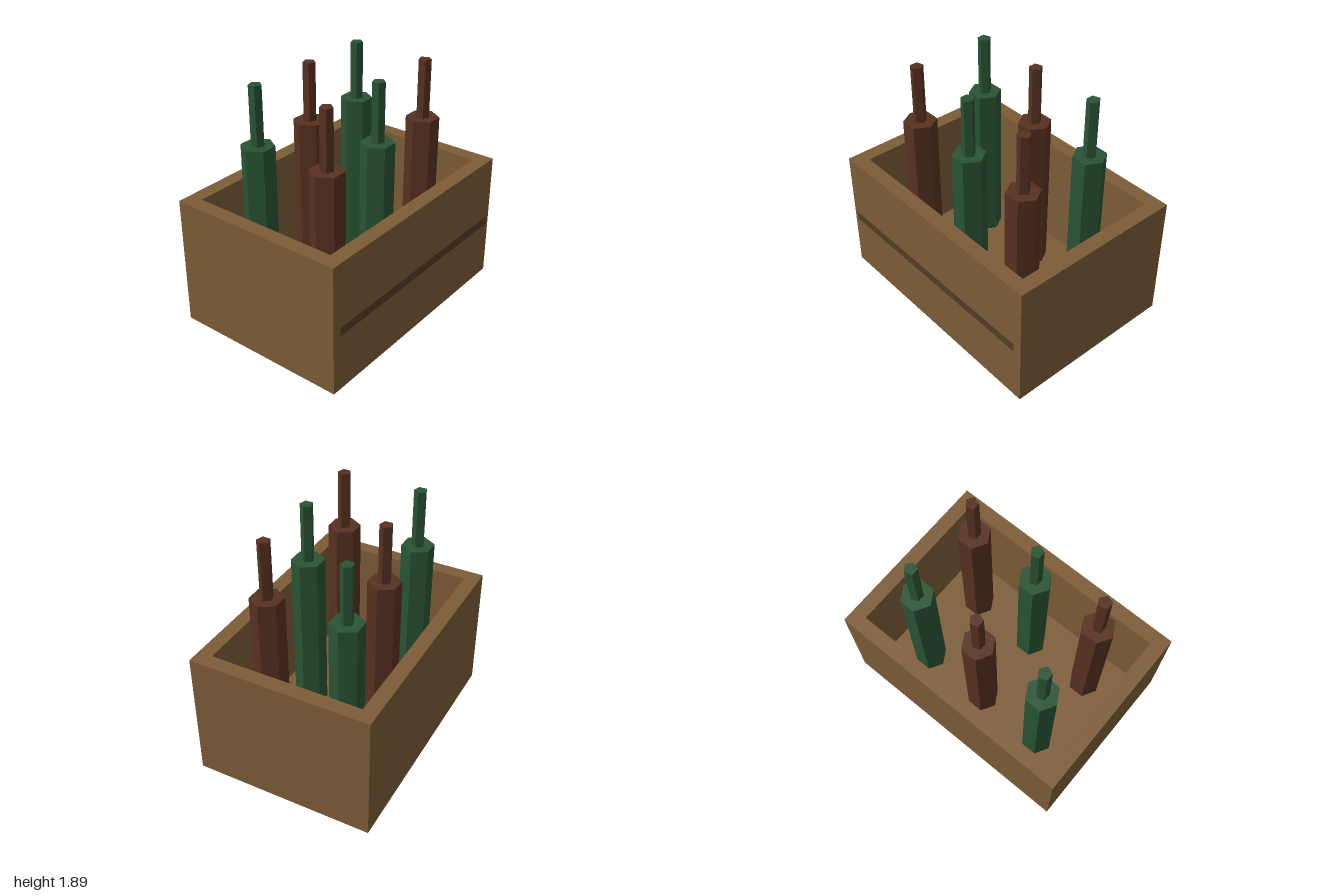
import * as THREE from 'three';

const material = (color) =>
  new THREE.MeshStandardMaterial({ color, flatShading: true, side: THREE.DoubleSide });

// Box standing on y = 0, open underneath
function openBox(width, height, depth) {
  const box = new THREE.BoxGeometry(width, height, depth);
  const index = Array.from(box.index.array);
  index.splice(18, 6); // drop the bottom face
  box.setIndex(index);
  box.clearGroups();
  return box.translate(0, height / 2, 0);
}

export function createModel() {
  const model = new THREE.Group();
  model.name = 'bottleCrate';

  const wood = material(0x7d5c37);
  const darkWood = material(0x533d26);
  const brownGlass = material(0x573120);
  const greenGlass = material(0x295434);

  const add = (parent, name, geometry, mat, x, y, z) => {
    const mesh = new THREE.Mesh(geometry, mat);
    mesh.name = name;
    mesh.position.set(x, y, z);
    parent.add(mesh);
    return mesh;
  };

  const halfDepth = 0.711, wall = 0.114, height = 1.03, floorY = 0.114;
  const midZ = -0.006; // the slat sits proud of the front, so the crate is set back a little

  // Crate walls: long front and back, short sides between them
  const crate = new THREE.Group();
  crate.name = 'crate';
  crate.position.z = midZ;
  model.add(crate);
  const innerDepth = 2 * (halfDepth - wall);
  for (const s of [1, -1]) {
    add(crate, s > 0 ? 'frontWall' : 'backWall', openBox(2, height, wall), wood,
      0, 0, s * (halfDepth - wall / 2));
    add(crate, s > 0 ? 'leftWall' : 'rightWall', openBox(wall, height, innerDepth), wood,
      s * (1 - wall / 2), 0, 0);
  }

  // Raised floor
  const floor = new THREE.PlaneGeometry(2 * (1 - wall), innerDepth).rotateX(-Math.PI / 2);
  add(crate, 'floor', floor, wood, 0, floorY, 0);

  // Dark strip across the front
  add(model, 'frontStrip', new THREE.PlaneGeometry(1.886, 0.07), darkWood, 0, 0.5, 0.717);

  // Bottles in alternating colours: hexagonal body, pentagonal neck
  const shoulderY = 1.43, topY = 1.89;
  const body = new THREE.CylinderGeometry(0.127, 0.127, shoulderY - floorY, 6).rotateY(Math.PI / 2);
  const neck = new THREE.CylinderGeometry(0.05, 0.05, topY - shoulderY, 5).rotateY(Math.PI / 2);
  for (let row = 0; row < 2; row++) {
    for (let col = 0; col < 3; col++) {
      const glass = (row + col) % 2 ? brownGlass : greenGlass;
      const bottle = new THREE.Group();
      bottle.name = 'bottle';
      bottle.position.set((col - 1) * 0.571, 0, midZ + (row ? 0.315 : -0.315));
      add(bottle, 'bottleBody', body, glass, 0, (floorY + shoulderY) / 2, 0);
      add(bottle, 'bottleNeck', neck, glass, 0, (shoulderY + topY) / 2, 0);
      model.add(bottle);
    }
  }

  return model;
}
